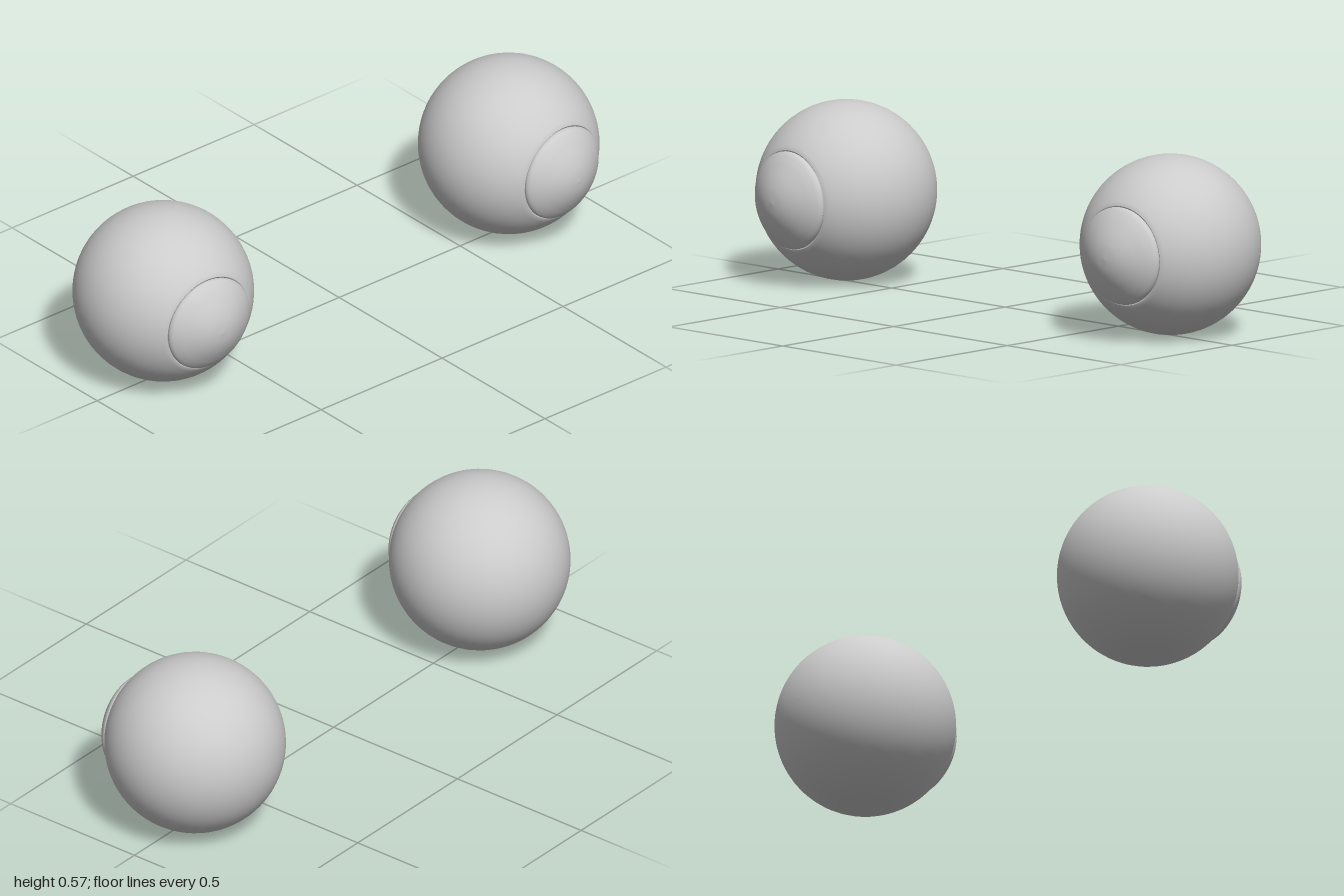
import * as THREE from 'three';

const R = 0.286; // eyeball radius
const RIM = Math.asin(0.16 / R); // polar angle where the cornea sits

export function createModel() {
  const model = new THREE.Group();
  const material = new THREE.MeshStandardMaterial({ color: 0xcccccc });

  // Eyeball: sphere profile from the back pole to the rim, then a small groove
  const ballProfile = [];
  for (let i = 0; i <= 48; i++) {
    const a = Math.PI + (RIM - Math.PI) * (i / 48);
    ballProfile.push(new THREE.Vector2(Math.max(0, R * Math.sin(a)), R * Math.cos(a)));
  }
  ballProfile.push(new THREE.Vector2(0.157, 0.234), new THREE.Vector2(0.148, 0.226));
  const ballGeometry = new THREE.LatheGeometry(ballProfile, 64).rotateX(Math.PI / 2);

  // Cornea: shallow dome with a rounded edge tucked into the groove
  const corneaCurve = new THREE.SplineCurve([
    [0.146, 0.226], [0.153, 0.231], [0.156, 0.239], [0.152, 0.25], [0.138, 0.263],
    [0.118, 0.277], [0.08, 0.298], [0.04, 0.312], [0, 0.317],
  ].map(([r, h]) => new THREE.Vector2(r, h)));
  const corneaProfile = corneaCurve.getPoints(32);
  corneaProfile[32].x = 0;
  const corneaGeometry = new THREE.LatheGeometry(corneaProfile, 64).rotateX(Math.PI / 2);

  // Mirrored pair, each looking slightly outward and down
  for (const side of [1, -1]) {
    const eye = new THREE.Group();
    eye.name = side > 0 ? 'leftEye' : 'rightEye';
    const ball = new THREE.Mesh(ballGeometry, material);
    ball.name = 'eyeball';
    const cornea = new THREE.Mesh(corneaGeometry, material);
    cornea.name = 'cornea';
    eye.add(ball, cornea);
    eye.position.set(side * (1 - R), R, -0.015);
    eye.rotation.set(0.025, side * 0.065, 0);
    model.add(eye);
  }
  return model;
}
